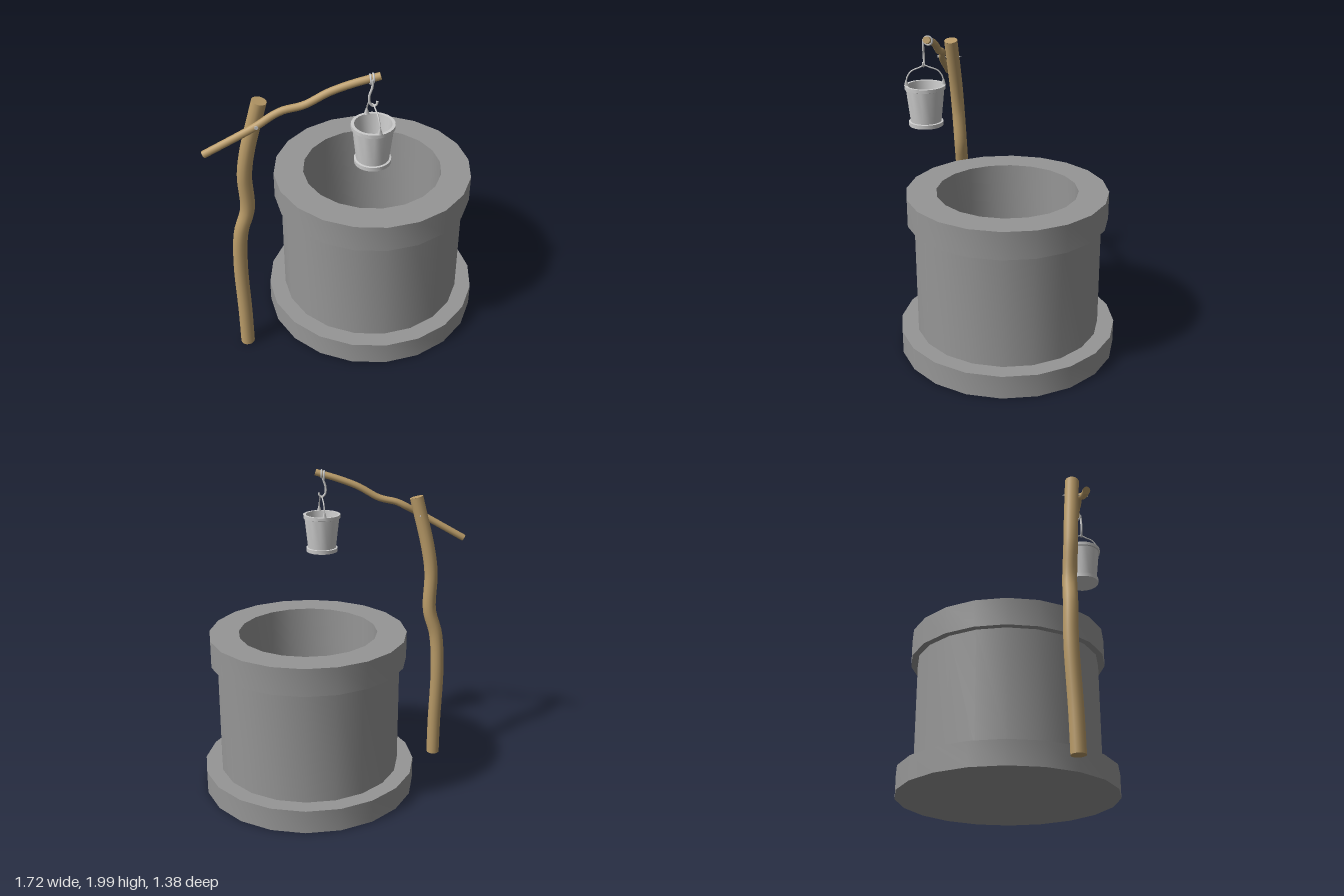
import * as THREE from 'three';
import { toCreasedNormals } from 'three/addons/utils/BufferGeometryUtils.js';

const stone = new THREE.MeshStandardMaterial({ color: 0x969696 });
const metal = new THREE.MeshStandardMaterial({ color: 0xcccccc });
const wood = new THREE.MeshStandardMaterial({ color: 0xb99b68 });

function add(parent, name, geometry, material) {
  const mesh = new THREE.Mesh(geometry, material);
  mesh.name = name;
  parent.add(mesh);
  return mesh;
}

function lathe(profile, sides) {
  const points = profile.map(([r, y]) => new THREE.Vector2(r, y));
  return toCreasedNormals(new THREE.LatheGeometry(points, sides), 0.6);
}

// A bent rod through the given points, closed with a disc at each end
function rod(name, points, radius, segments, sides, material) {
  const group = new THREE.Group();
  group.name = name;
  const curve = new THREE.CatmullRomCurve3(points.map(p => new THREE.Vector3(...p)), false, 'centripetal');
  add(group, name + 'Shaft', new THREE.TubeGeometry(curve, segments, radius, sides), material);
  for (const [t, sign] of [[0, -1], [1, 1]]) {
    const cap = add(group, name + 'End', new THREE.CircleGeometry(radius, sides), material);
    cap.position.copy(curve.getPointAt(t));
    cap.quaternion.setFromUnitVectors(new THREE.Vector3(0, 0, 1), curve.getTangentAt(t).multiplyScalar(sign));
  }
  return group;
}

export function createModel() {
  const model = new THREE.Group();
  model.name = 'well';

  // Stone well: base, wall, rim and shaft in one profile
  const wall = add(model, 'wellWall', lathe([
    [0, 0], [0.69, 0], [0.69, 0.15], [0.585, 0.15], [0.585, 0.875], [0.627, 0.875],
    [0.627, 1.05], [0.44, 1.05], [0.44, 0.15], [0, 0.15],
  ], 20), stone);
  wall.position.x = 0.17;

  // Crooked post and the beam fixed in front of it
  model.add(rod('post', [
    [-0.695, 0, 0.38], [-0.695, 0.25, 0.375], [-0.7, 0.65, 0.36], [-0.68, 0.9, 0.365], [-0.632, 1.07, 0.367],
    [-0.635, 1.32, 0.38], [-0.61, 1.49, 0.388], [-0.525, 1.825, 0.408],
  ], 0.044, 40, 14, wood));
  model.add(rod('beam', [
    [-0.85, 1.54, 0.467], [-0.55, 1.705, 0.472], [-0.46, 1.755, 0.455], [-0.4, 1.783, 0.454], [-0.285, 1.81, 0.457],
    [-0.15, 1.882, 0.462], [-0.02, 1.93, 0.468], [0.13, 1.972, 0.478],
  ], 0.022, 40, 12, wood));

  // Nail through beam and post
  const nail = add(model, 'nailShaft', new THREE.CylinderGeometry(0.005, 0.005, 0.13, 8), metal);
  nail.rotation.x = Math.PI / 2;
  nail.position.set(-0.55, 1.71, 0.435);
  const head = add(model, 'nailHead', new THREE.CylinderGeometry(0.011, 0.011, 0.006, 8), metal);
  head.rotation.x = Math.PI / 2;
  head.position.set(-0.55, 1.71, 0.498);
  const tip = add(model, 'nailTip', new THREE.ConeGeometry(0.008, 0.03, 8), metal);
  tip.rotation.x = -Math.PI / 2;
  tip.position.set(-0.55, 1.71, 0.355);

  // Wire rings round the beam and the hook below them
  for (const x of [0.073, 0.09]) {
    const ring = add(model, 'beamRing', new THREE.TorusGeometry(0.025, 0.006, 8, 18), metal);
    ring.rotation.y = Math.PI / 2;
    ring.position.set(x, 1.957 + (x - 0.08) * 0.3, 0.475);
  }
  model.add(rod('hook', [
    [0.082, 1.965, 0.503], [0.08, 1.92, 0.505], [0.065, 1.87, 0.505], [0.068, 1.825, 0.505],
    [0.088, 1.804, 0.505], [0.106, 1.815, 0.505], [0.108, 1.832, 0.505],
  ], 0.007, 30, 8, metal));

  // Bucket, turned slightly about its own axis
  const bucket = new THREE.Group();
  bucket.name = 'bucket';
  bucket.position.set(0.09, 1.44, 0.5);
  bucket.rotation.y = 0.18;
  model.add(bucket);
  add(bucket, 'bucketBody', lathe([
    [0, 0], [0.105, 0], [0.106, 0.025], [0.094, 0.027], [0.116, 0.225], [0.124, 0.228],
    [0.124, 0.25], [0.106, 0.25], [0.086, 0.03], [0, 0.03],
  ], 24), metal);

  // Wire handle and its lugs
  bucket.add(rod('handle', [
    [0, 0.26, -0.112], [0, 0.3, -0.106], [0, 0.338, -0.078], [0, 0.358, -0.03], [0, 0.37, 0],
    [0, 0.358, 0.03], [0, 0.338, 0.078], [0, 0.3, 0.106], [0, 0.26, 0.112],
  ], 0.0045, 40, 8, metal));
  for (const side of [-1, 1]) {
    const lug = add(bucket, 'handleLug', new THREE.CylinderGeometry(0.006, 0.018, 0.035, 4), metal);
    lug.position.set(0, 0.266, side * 0.112);
    lug.rotation.y = Math.PI / 4;
  }
  return model;
}
